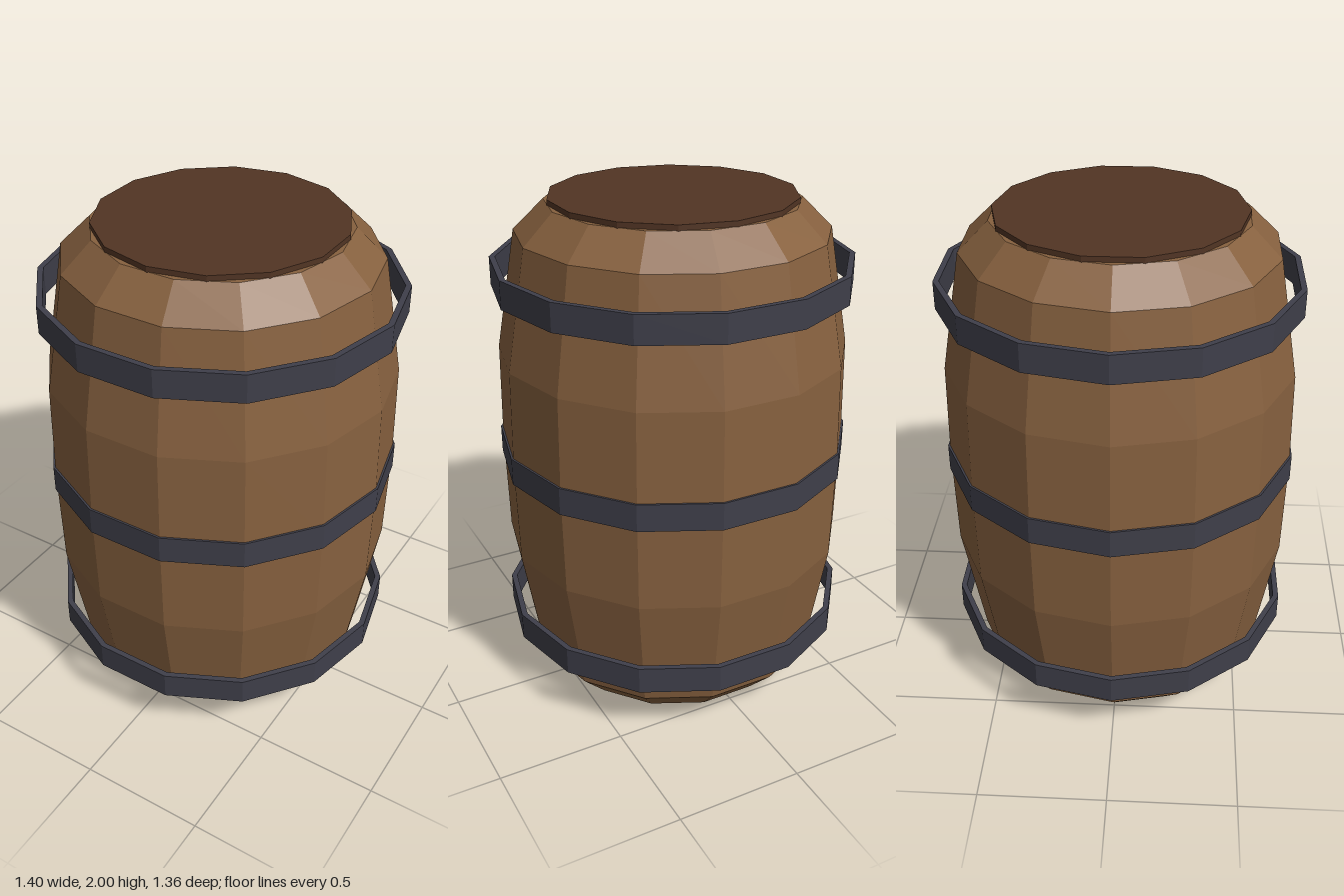
import * as THREE from 'three';

const SIDES = 14;

function material(name, color) {
  const m = new THREE.MeshStandardMaterial({ color, flatShading: true });
  m.name = name;
  return m;
}

// Faceted solid of revolution with a corner on the x axis
function turned(name, profile, mat) {
  const points = profile.map(([r, y]) => new THREE.Vector2(r, y));
  const mesh = new THREE.Mesh(new THREE.LatheGeometry(points, SIDES, Math.PI / 2), mat);
  mesh.name = name;
  return mesh;
}

export function createModel() {
  const barrel = new THREE.Group();
  barrel.name = 'barrel';
  const wood = material('oak brown', 0x87613f);
  const darkWood = material('dark brown', 0x523524);
  const iron = material('dark iron', 0x3f3f4a);

  // Bulging body, closed at both ends
  barrel.add(turned('body', [
    [0, 0], [0.485, 0], [0.603, 0.12], [0.685, 0.6], [0.693, 1.0],
    [0.685, 1.4], [0.603, 1.865], [0.485, 1.98], [0, 1.98],
  ], wood));

  // Lid, turned half a side against the body
  const lid = new THREE.Mesh(new THREE.CylinderGeometry(0.475, 0.475, 0.06, SIDES), darkWood);
  lid.name = 'lid';
  lid.position.y = 1.97;
  barrel.add(lid);

  // Three equal hoops, standing clear of the body at the ends
  const outer = 0.7, inner = 0.677, half = 0.055;
  for (const [name, y] of [['bottomHoop', 0.28], ['middleHoop', 0.995], ['topHoop', 1.705]]) {
    const hoop = turned(name, [
      [inner, -half], [outer, -half], [outer, half], [inner, half], [inner, -half],
    ], iron);
    hoop.position.y = y;
    barrel.add(hoop);
  }
  return barrel;
}
